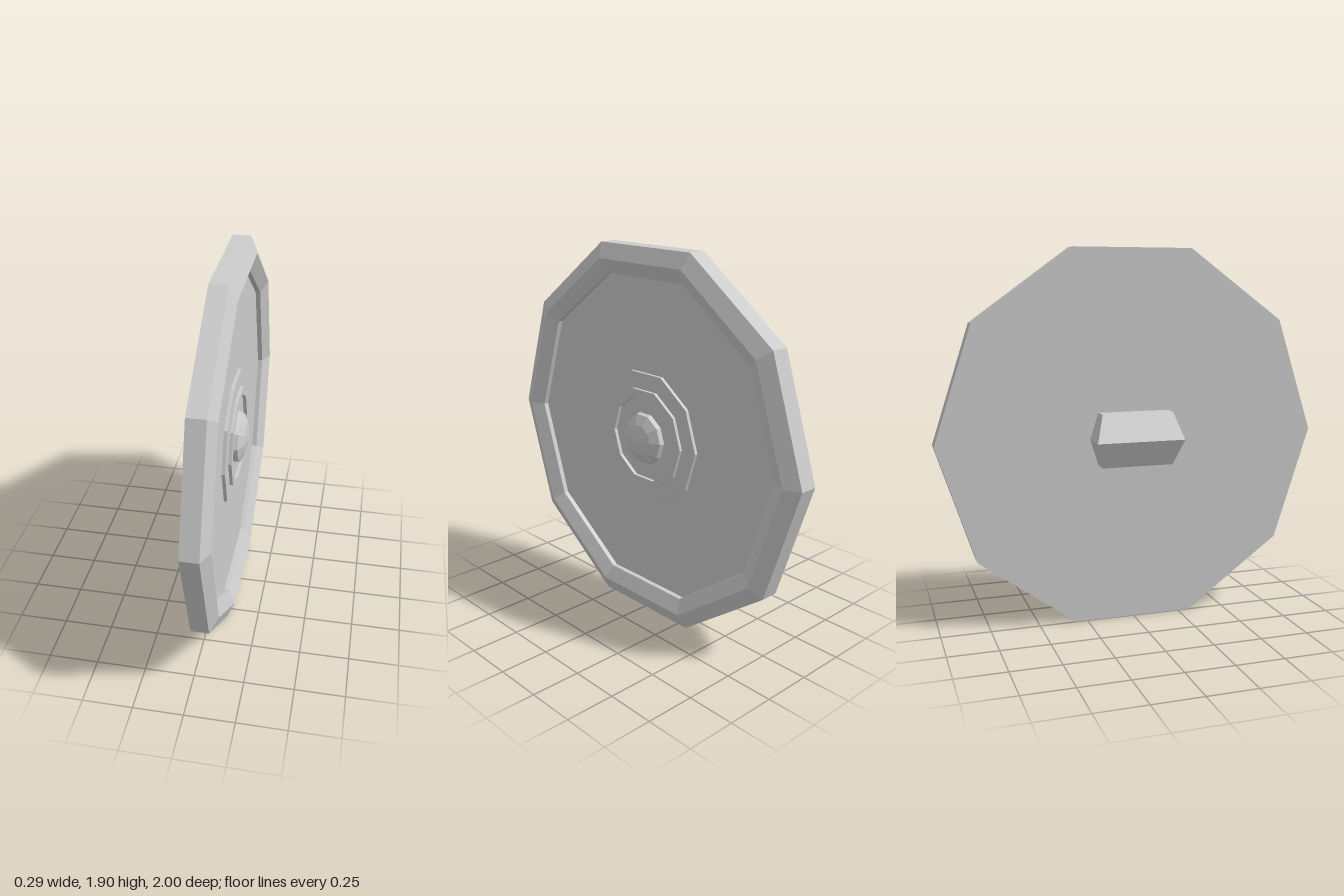
import * as THREE from 'three';

const SIDES = 10;
const CENTER_Y = Math.sin(Math.PI * 0.4);
const material = new THREE.MeshStandardMaterial({ color: 0xcccccc, flatShading: true });

// Ten-sided turned part whose axis points along +x; profile is [radius, x] pairs
function turned(name, profile) {
  const geometry = new THREE.LatheGeometry(profile.map(([r, x]) => new THREE.Vector2(r, x)), SIDES);
  geometry.rotateZ(-Math.PI / 2);
  const mesh = new THREE.Mesh(geometry, material);
  mesh.name = name;
  return mesh;
}

// Hexagonal grip block whose outer face folds to a ridge running along z
function makeGrip() {
  const endZ = 0.228, sideZ = 0.185, sideY = 0.135, ridgeX = -0.145, sideX = -0.08;
  const outline = [
    [endZ, 0], [sideZ, sideY], [-sideZ, sideY],
    [-endZ, 0], [-sideZ, -sideY], [sideZ, -sideY],
  ];
  const base = outline.map(([z, y]) => [0.01, y, z]);
  const outer = outline.map(([z, y]) => [y === 0 ? ridgeX : sideX, y, z]);
  const positions = [];
  const quad = (a, b, c, d) => positions.push(...a, ...b, ...c, ...a, ...c, ...d);
  for (let i = 0; i < 6; i++) {
    const j = (i + 1) % 6;
    quad(base[i], base[j], outer[j], outer[i]);
  }
  // Two sloping faces that meet at the ridge
  quad(outer[0], outer[1], outer[2], outer[3]);
  quad(outer[3], outer[4], outer[5], outer[0]);
  const geometry = new THREE.BufferGeometry();
  geometry.setAttribute('position', new THREE.Float32BufferAttribute(positions, 3));
  geometry.computeVertexNormals();
  const mesh = new THREE.Mesh(geometry, material);
  mesh.name = 'grip';
  return mesh;
}

export function createModel() {
  const shield = new THREE.Group();
  shield.name = 'shield';

  // Disc with bevelled rim, sunken face and stepped central rings
  shield.add(turned('disc', [
    [0, 0], [1, 0], [1, 0.09], [0.92, 0.125], [0.845, 0.09], [0.845, 0.065],
    [0.35, 0.065], [0.35, 0.082], [0.262, 0.082], [0.262, 0.098],
    [0.222, 0.098], [0.222, 0.08], [0, 0.08],
  ]));

  // Faceted dome in the middle of the front
  shield.add(turned('boss', [
    [0.135, 0.075], [0.13, 0.105], [0.08, 0.13], [0, 0.145],
  ]));

  shield.add(makeGrip());
  shield.position.y = CENTER_Y;

  const model = new THREE.Group();
  model.add(shield);
  return model;
}
